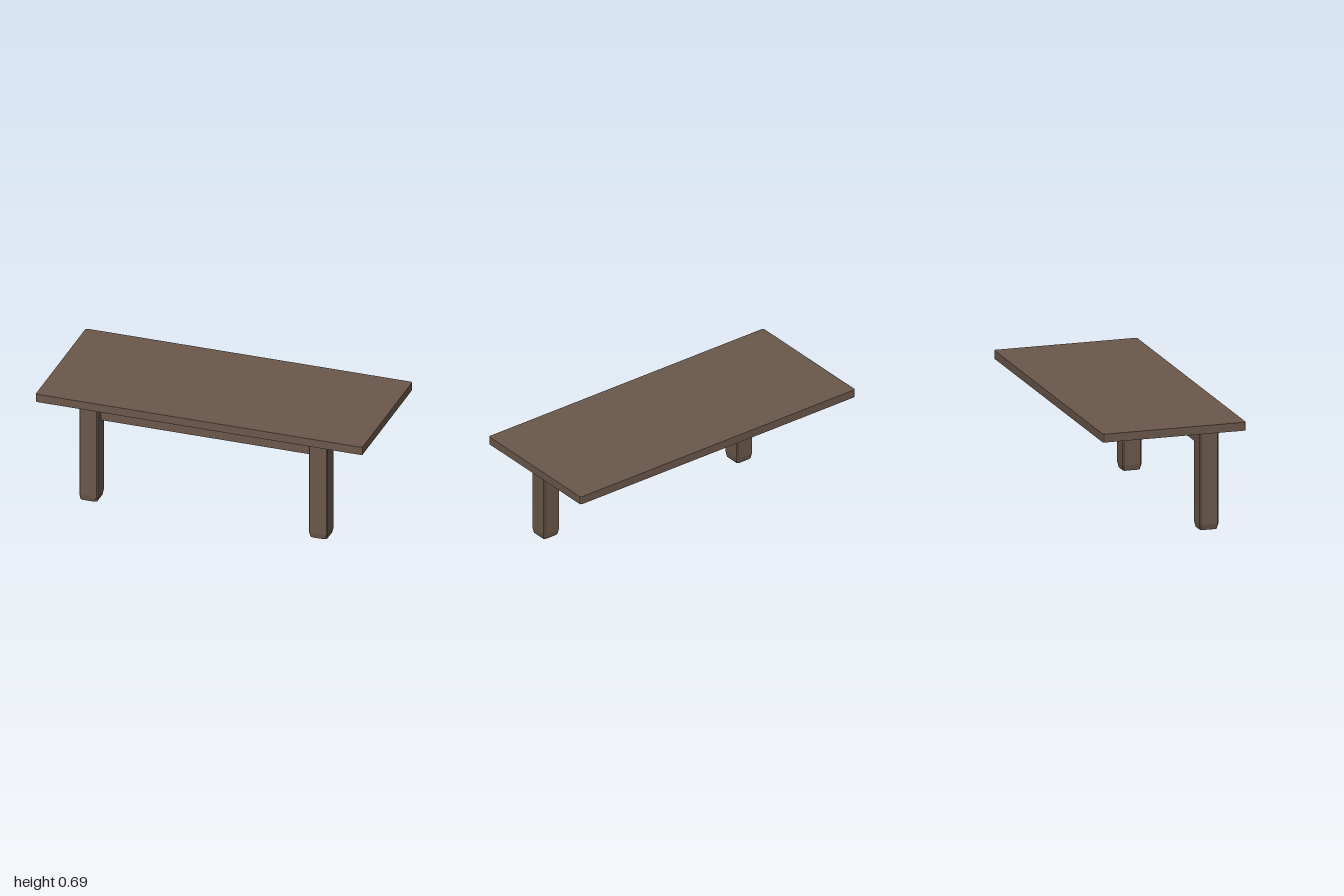
import * as THREE from 'three';

// Loft of chamfered rectangles: each ring is [y, halfX, halfZ, cutX, cutZ]
function chamferedLoft(rings) {
  const pos = [], idx = [];
  for (const [y, a, b, cx, cz] of rings) {
    const outline = [
      [a, b - cz], [a - cx, b], [-a + cx, b], [-a, b - cz],
      [-a, -b + cz], [-a + cx, -b], [a - cx, -b], [a, -b + cz],
    ];
    for (const [x, z] of outline) pos.push(x, y, z);
  }
  const n = 8, last = (rings.length - 1) * n;
  for (let r = 0; r < rings.length - 1; r++) {
    for (let i = 0; i < n; i++) {
      const p = r * n + i, q = r * n + (i + 1) % n;
      idx.push(p, p + n, q, q, p + n, q + n);
    }
  }
  // end caps
  for (let i = 1; i < n - 1; i++) {
    idx.push(0, i, i + 1);
    idx.push(last, last + i + 1, last + i);
  }
  const g = new THREE.BufferGeometry();
  g.setAttribute('position', new THREE.Float32BufferAttribute(pos, 3));
  g.setIndex(idx);
  const flat = g.toNonIndexed();
  flat.computeVertexNormals();
  return flat;
}

export function createModel() {
  const group = new THREE.Group();
  const wood = new THREE.MeshStandardMaterial({ color: 0x6a574a });
  wood.name = 'brownWood';

  const add = (name, geometry, x, y, z) => {
    const mesh = new THREE.Mesh(geometry, wood);
    mesh.name = name;
    mesh.position.set(x, y, z);
    group.add(mesh);
  };

  // Thin top with slightly clipped corners
  add('tableTop', chamferedLoft([
    [0.64, 1, 0.435, 0.01, 0.006],
    [0.69, 1, 0.435, 0.01, 0.006],
  ]), 0, 0, 0);

  // Two square legs under the front edge, tapered at the foot
  const leg = chamferedLoft([
    [0, 0.05, 0.052, 0.016, 0.006],
    [0.033, 0.057, 0.057, 0.006, 0.006],
    [0.632, 0.057, 0.057, 0.006, 0.006],
    [0.64, 0.055, 0.056, 0.006, 0.006],
  ]);
  add('rightLeg', leg, -0.709, 0, 0.288);
  add('leftLeg', leg, 0.698, 0, 0.288);

  // Rail joining the legs, flush with their rear faces
  add('rail', new THREE.BoxGeometry(1.31, 0.06, 0.057), -0.005, 0.54, 0.2605);

  return group;
}
